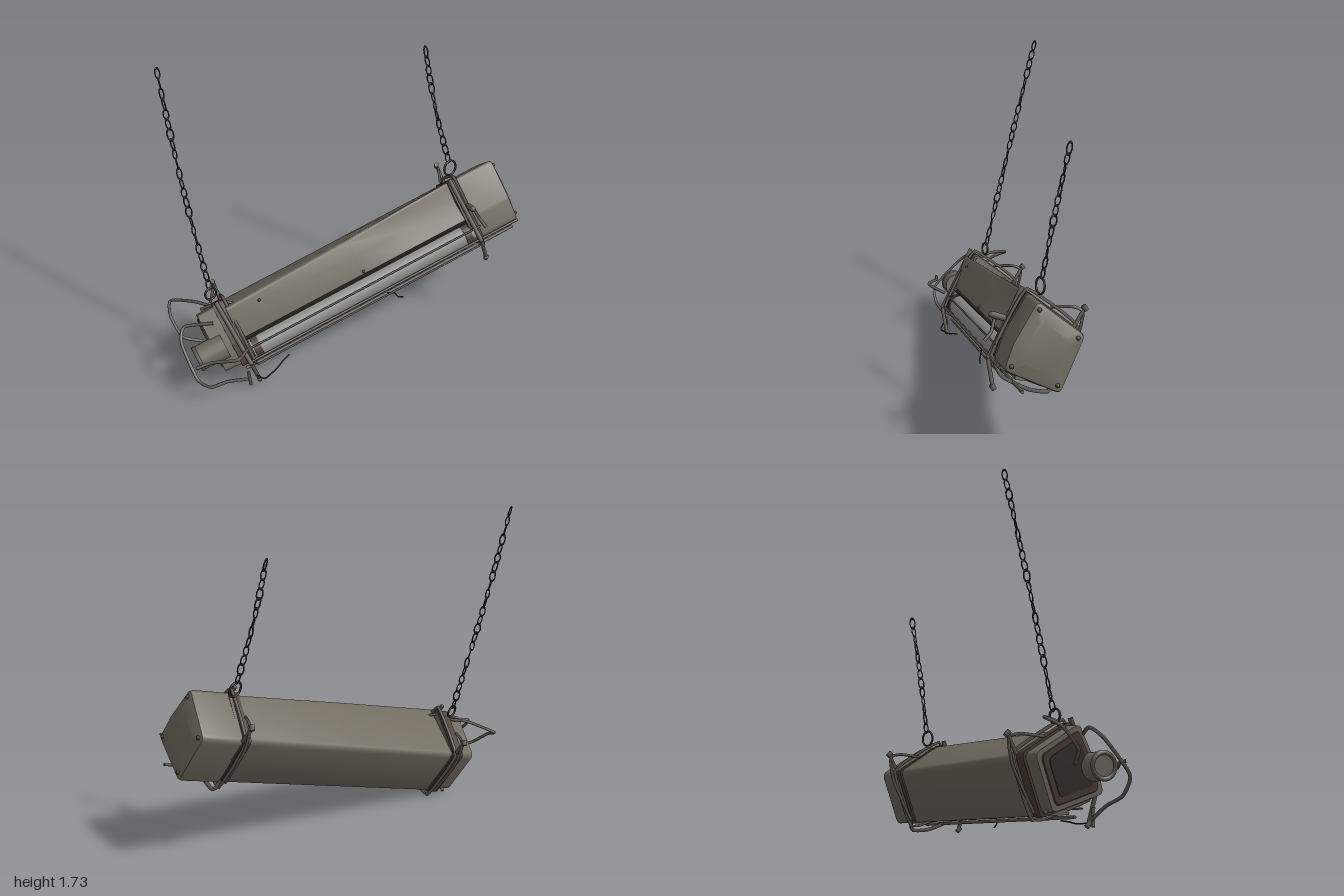
import * as THREE from 'three';
import { toCreasedNormals } from 'three/addons/utils/BufferGeometryUtils.js';

const mat = (name, color) => new THREE.MeshStandardMaterial({ name, color });
const V = (a) => new THREE.Vector3(...a);

// Cross-section corners as [y, z, radius], clockwise seen from +x
const FULL = [[0.235, 0.015, 0.025], [0.04, -0.212, 0.03], [-0.235, -0.07, 0.025], [-0.09, 0.205, 0.03], [0.04, 0.148, 0.01]];

// Rounds polygon corners into a ring of [y, z]
function ring(pts, s = 1) {
  const out = [];
  pts.forEach(([y, z, r = 0], i) => {
    const p = new THREE.Vector2(y, z).multiplyScalar(s);
    if (!r) return out.push([p.x, p.y]);
    const near = (q) => {
      const v = new THREE.Vector2(q[0], q[1]).multiplyScalar(s).sub(p);
      return v.setLength(Math.min(r, v.length() * 0.45)).add(p);
    };
    const a = near(pts[(i + pts.length - 1) % pts.length]), b = near(pts[(i + 1) % pts.length]);
    const curve = new THREE.QuadraticBezierCurve(a, p, b);
    for (const q of curve.getPoints(4)) out.push([q.x, q.y]);
  });
  return out;
}

// Solid skinned through rings placed along x
function loft(stations) {
  const pos = [], n = stations[0].ring.length;
  const at = (s, i) => [s.x, ...s.ring[i % n]];
  for (let k = 0; k + 1 < stations.length; k++) {
    const s = stations[k], t = stations[k + 1];
    for (let i = 0; i < n; i++) {
      pos.push(...at(s, i), ...at(t, i), ...at(s, i + 1));
      pos.push(...at(s, i + 1), ...at(t, i), ...at(t, i + 1));
    }
  }
  for (const [s, sign] of [[stations[0], -1], [stations[stations.length - 1], 1]]) {
    const c = s.ring.map(([y, z]) => new THREE.Vector2(y, z));
    for (let [a, b, d] of THREE.ShapeUtils.triangulateShape(c, [])) {
      const area = c[b].clone().sub(c[a]).cross(c[d].clone().sub(c[a]));
      if (area * sign < 0) [b, d] = [d, b];
      pos.push(...at(s, a), ...at(s, b), ...at(s, d));
    }
  }
  const g = new THREE.BufferGeometry();
  g.setAttribute('position', new THREE.Float32BufferAttribute(pos, 3));
  return toCreasedNormals(g, 0.6);
}

export function createModel() {
  const root = new THREE.Group();
  root.name = 'hangingLamp';
  const housing = mat('housingGrey', 0x6e685e);
  const rust = mat('rustBrown', 0x4b3b34);
  const rodMat = mat('rodGrey', 0x5c5751);
  const glass = mat('frostedGlass', 0x8e8f8d);
  const reflect = mat('reflectorGrey', 0x747471);
  const dark = mat('darkInterior', 0x302b28);
  const iron = mat('chainIron', 0x302925);

  const lamp = new THREE.Group();
  lamp.name = 'lamp';
  lamp.position.set(0.06, 0.465, 0);
  lamp.rotation.set(0, 0.043, 0.286, 'YZX');
  root.add(lamp);

  const add = (parent, name, geo, m, p = [0, 0, 0], rot = [0, 0, 0]) => {
    const mesh = new THREE.Mesh(geo, m);
    mesh.name = name;
    mesh.position.set(...p);
    mesh.rotation.set(...rot);
    parent.add(mesh);
    return mesh;
  };
  const wire = (parent, name, pts, r, m, closed = false, tension = 0.3) => {
    const c = new THREE.CatmullRomCurve3(pts.map(V), closed, 'catmullrom', tension);
    return add(parent, name, new THREE.TubeGeometry(c, pts.length * 6, r, 6, closed), m);
  };
  const bar = (parent, name, a, b, r, m) => {
    const d = V(b).sub(V(a));
    const mesh = add(parent, name, new THREE.CylinderGeometry(r, r, d.length(), 8), m);
    mesh.position.copy(V(a).add(V(b)).multiplyScalar(0.5));
    mesh.quaternion.setFromUnitVectors(new THREE.Vector3(0, 1, 0), d.normalize());
  };

  // Long housing with a trough in its lower front and a crumpled dent above it
  const section = (ridgeZ, dent) => ring([
    [0.228, ridgeZ, 0.02], [0.04, -0.207, 0.03], [-0.23, -0.068, 0.02],
    [-0.195, 0.105], [-0.18, 0.105], [-0.15, 0.045], [-0.06, 0.025], [0.0, 0.05], [0.02, 0.13],
    [0.04, 0.145], [0.13 - dent, 0.5 * (ridgeZ + 0.145) - dent],
  ]);
  add(lamp, 'housing', loft([
    { x: -0.76, ring: section(0.075, 0) }, { x: 0, ring: section(0.04, 0) },
    { x: 0.3, ring: section(0.02, 0.015) }, { x: 0.7, ring: section(0, 0.02) },
  ]), housing);
  for (const [x, y, z] of [[-0.58, 0.19, 0.1], [0.0, 0.055, 0.142]])
    add(lamp, 'housingRivet', new THREE.SphereGeometry(0.009, 8, 6), rust, [x, y, z]);

  // Reflector, glass tube and end sockets
  const strip = [[0.005, 0.085], [-0.01, 0.06], [-0.06, 0.033], [-0.145, 0.053], [-0.175, 0.1]];
  for (let i = 0; i + 1 < strip.length; i++) {
    const [a, b] = [strip[i], strip[i + 1]];
    add(lamp, 'reflector', new THREE.BoxGeometry(1.38, Math.hypot(b[0] - a[0], b[1] - a[1]), 0.006), reflect,
      [-0.02, (a[0] + b[0]) / 2, (a[1] + b[1]) / 2], [Math.atan2(b[1] - a[1], b[0] - a[0]), 0, 0]);
  }
  add(lamp, 'glassTube', new THREE.CylinderGeometry(0.066, 0.066, 1.4, 24), glass, [-0.03, -0.066, 0.132], [0, 0, Math.PI / 2]);
  for (const x of [-0.7, 0.62])
    add(lamp, 'tubeSocket', new THREE.CylinderGeometry(0.072, 0.072, 0.04, 20), rust, [x, -0.066, 0.132], [0, 0, Math.PI / 2]);

  // Lip and guard rods along the tube
  add(lamp, 'upperLip', new THREE.BoxGeometry(1.42, 0.012, 0.02), dark, [-0.03, 0.022, 0.138]);
  for (const [y, z, x0, x1, r] of [[-0.075, 0.218, -0.78, 0.91, 0.007], [-0.205, 0.115, -0.8, 0.91, 0.009],
    [-0.15, 0.185, -0.74, 0.7, 0.005], [-0.005, 0.195, -0.74, 0.7, 0.005]])
    bar(lamp, 'guardRod', [x0, y, z], [x1, y, z], r, rodMat);

  // Domed right end box and open left end box
  add(lamp, 'rightEndBox', loft([
    { x: 0.69, ring: ring(FULL) }, { x: 0.9, ring: ring(FULL) },
    { x: 0.918, ring: ring(FULL, 0.97) }, { x: 0.937, ring: ring(FULL, 0.6) },
  ]), housing);
  for (const [y, z] of FULL.slice(0, 4))
    add(lamp, 'endRivet', new THREE.SphereGeometry(0.012, 8, 6), rust, [0.925, y * 0.8, z * 0.8]);
  add(lamp, 'leftEndBox', loft([{ x: -0.91, ring: ring(FULL, 0.93) }, { x: -0.74, ring: ring(FULL, 0.98) }]), housing);
  add(lamp, 'leftRim', loft([{ x: -0.918, ring: ring(FULL, 0.78) }, { x: -0.89, ring: ring(FULL, 0.85) }]), rust);
  add(lamp, 'leftOpening', loft([{ x: -0.923, ring: ring(FULL, 0.62) }, { x: -0.91, ring: ring(FULL, 0.62) }]), dark);
  add(lamp, 'endKnob', new THREE.CylinderGeometry(0.068, 0.072, 0.16, 18), housing, [-0.93, 0.03, 0.115], [0, 0, Math.PI / 2]);
  add(lamp, 'knobRim', new THREE.TorusGeometry(0.062, 0.012, 6, 18), rodMat, [-1.008, 0.03, 0.115], [0, Math.PI / 2, 0]);

  // Rust straps with a grey clamp rod, lugs and bolts
  for (const [x, name] of [[0.66, 'rightStrap'], [-0.78, 'leftStrap']]) {
    const w = x > 0 ? 0.022 : 0.036;
    add(lamp, name, loft([{ x: x - w, ring: ring(FULL, 1.03) }, { x: x + w, ring: ring(FULL, 1.03) }]), rust);
    wire(lamp, name + 'Rod', FULL.map(([y, z]) => [x + w, y * 1.08, z * 1.08]), 0.009, rodMat, true, 0.15);
    bar(lamp, name + 'FrontBar', [x - 0.01, 0.26, 0.03], [x + 0.01, -0.08, 0.23], 0.013, rodMat);
    bar(lamp, name + 'FrontTail', [x + 0.01, -0.08, 0.23], [x + 0.015, -0.225, 0.215], 0.011, rodMat);
    bar(lamp, name + 'BackTail', [x + 0.03, 0.04, -0.21], [x + 0.035, 0.13, -0.27], 0.01, rodMat);
    for (const p of [[x + 0.035, 0.13, -0.27], [x + 0.015, -0.225, 0.215]])
      add(lamp, 'bolt', new THREE.CylinderGeometry(0.014, 0.014, 0.03, 8), rodMat, p, [0.6, 0, 0]);
    wire(lamp, name + 'BackBrace', [[x - w, 0.14, -0.11], [x + 0.02, 0.14, -0.21], [x + 0.035, 0.11, -0.26],
      [x + 0.02, -0.02, -0.225], [x, -0.22, -0.095]], 0.008, rodMat);
  }
  // Handle and latch on the right strap
  wire(lamp, 'rightHandle', [[0.68, -0.06, 0.215], [0.69, -0.17, 0.17], [0.7, -0.25, 0.04],
    [0.7, -0.27, -0.06], [0.68, -0.21, -0.09]], 0.011, rodMat);
  add(lamp, 'rightLatch', new THREE.CapsuleGeometry(0.017, 0.06, 4, 8), rodMat, [0.68, 0.13, 0.17], [1.2, 0, 0]);
  wire(lamp, 'rightLatchHook', [[0.69, 0.12, 0.19], [0.7, 0.06, 0.21], [0.71, 0.02, 0.25]], 0.009, rodMat);

  // Bent wire guards at the left end
  wire(root, 'endGuardLoop', [[-0.74, 0.42, 0.05], [-0.85, 0.42, -0.06], [-0.96, 0.37, -0.18], [-0.985, 0.33, -0.1],
    [-0.95, 0.25, 0.0], [-0.85, 0.22, 0.04]], 0.009, rodMat);
  wire(root, 'endGuardFront', [[-0.8, 0.38, 0.1], [-0.95, 0.37, 0.06], [-0.985, 0.31, 0.12], [-0.95, 0.17, 0.27],
    [-0.88, 0.09, 0.27], [-0.78, 0.07, 0.24], [-0.66, 0.04, 0.23]], 0.009, rodMat);
  wire(root, 'frontGuard', [[-0.95, 0.24, 0.26], [-0.86, 0.26, 0.27], [-0.74, 0.29, 0.33], [-0.66, 0.26, 0.24]], 0.009, rodMat);
  wire(root, 'topGuard', [[-0.84, 0.41, 0.0], [-0.72, 0.46, 0.04], [-0.6, 0.43, 0.1], [-0.52, 0.38, 0.14]], 0.008, rodMat);
  bar(root, 'bottomPin', [-0.65, 0.005, 0.24], [-0.66, 0.1, 0.24], 0.009, rodMat);
  bar(root, 'backPin', [-0.7, 0.012, -0.05], [-0.72, 0.07, 0.02], 0.009, rodMat);

  // Loose cable ends
  wire(root, 'looseCable', [[-0.62, 0.08, 0.26], [-0.58, 0.06, 0.28], [-0.5, 0.07, 0.24], [-0.46, 0.09, 0.22], [-0.41, 0.11, 0.2]], 0.004, iron);
  wire(root, 'looseCable', [[0.19, 0.33, 0.15], [0.23, 0.325, 0.16], [0.25, 0.3, 0.17], [0.28, 0.29, 0.17]], 0.004, iron);

  // Chains of alternating, slightly uneven links, each on a large ring
  const link = new THREE.TorusGeometry(0.0155, 0.0036, 6, 12).scale(1, 1.85, 1);
  const chains = [
    { side: 'left', from: [-0.775, 0.535, -0.035], to: [-0.878, 1.7, -0.33], ringAt: [-0.772, 0.485, -0.02], r: 0.034 },
    { side: 'right', from: [0.642, 0.975, -0.09], to: [0.55, 1.585, -0.23], ringAt: [0.652, 0.915, -0.075], r: 0.042 },
  ];
  for (const { side, from, to, ringAt, r } of chains) {
    const chain = new THREE.Group();
    chain.name = side + 'Chain';
    root.add(chain);
    add(chain, 'hangerRing', new THREE.TorusGeometry(r, 0.006, 8, 20), iron, ringAt, [-0.2, 0.3, 0]);
    const a = V(from), b = V(to), dir = b.clone().sub(a);
    const n = Math.round(dir.length() / 0.054);
    const q = new THREE.Quaternion().setFromUnitVectors(new THREE.Vector3(0, 1, 0), dir.clone().normalize());
    for (let i = 0; i <= n; i++) {
      const m = add(chain, 'chainLink', link, iron);
      m.position.copy(a).addScaledVector(dir, i / n);
      m.position.x -= 0.012 * Math.sin(Math.PI * i / n);
      m.quaternion.copy(q);
      m.rotateY(0.35 + i * Math.PI / 2 + 0.4 * Math.sin(i * 2.3));
      m.scale.setScalar(1 + 0.1 * Math.sin(i * 1.7));
    }
  }
  return root;
}
